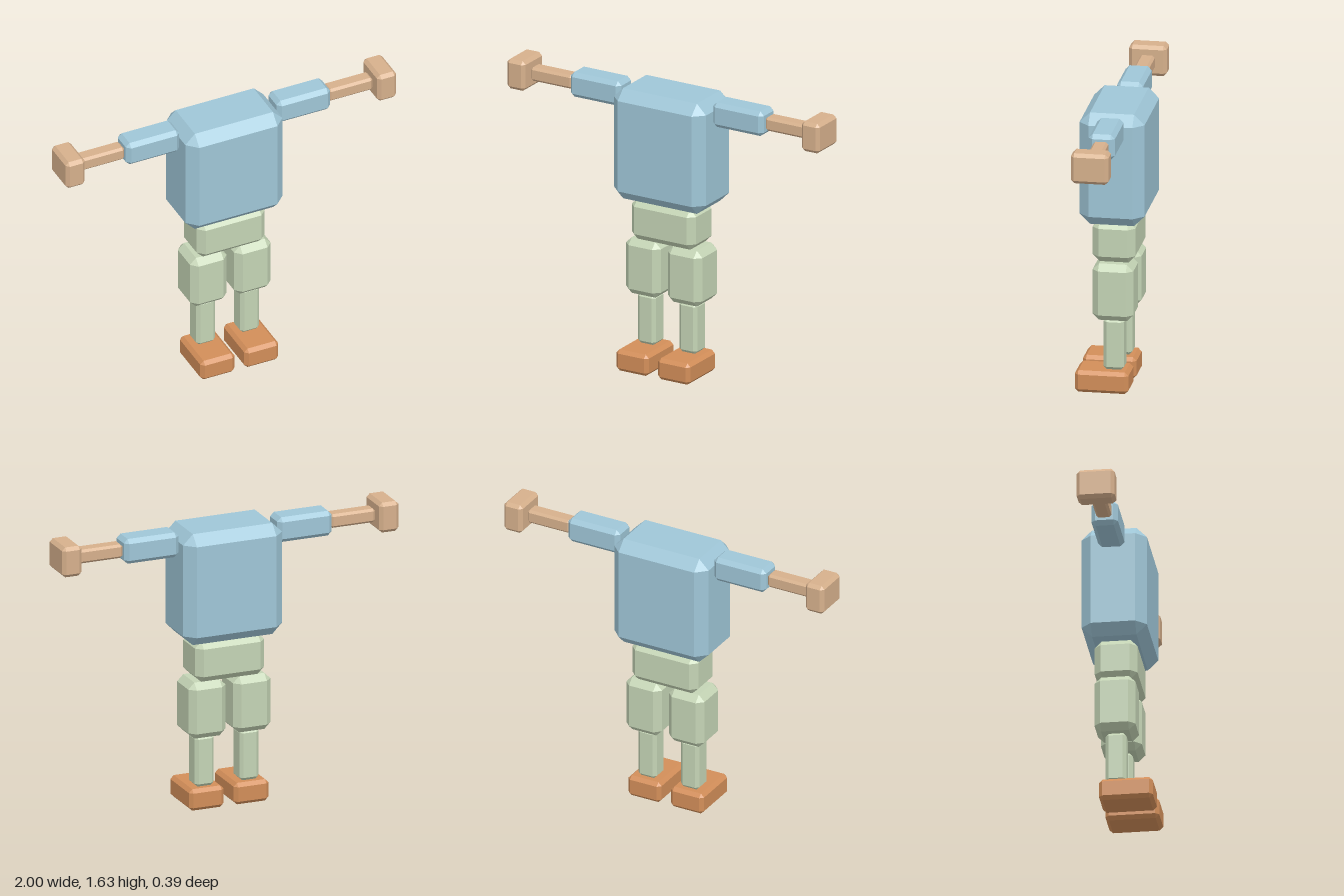
import * as THREE from 'three';
import { ConvexGeometry } from 'three/addons/geometries/ConvexGeometry.js';

const material = (name, color) => {
  const m = new THREE.MeshStandardMaterial({ color });
  m.name = name;
  return m;
};

// Box with every edge cut at 45 degrees by c; corners become triangles
function chamferBox(w, h, d, c) {
  const points = [];
  const x = w / 2, y = h / 2, z = d / 2;
  for (const sx of [-1, 1]) for (const sy of [-1, 1]) for (const sz of [-1, 1]) {
    points.push(
      new THREE.Vector3(sx * x, sy * (y - c), sz * (z - c)),
      new THREE.Vector3(sx * (x - c), sy * y, sz * (z - c)),
      new THREE.Vector3(sx * (x - c), sy * (y - c), sz * z));
  }
  return new ConvexGeometry(points);
}

export function createModel() {
  const model = new THREE.Group();
  model.name = 'blockFigure';

  const shirt = material('shirtBlue', 0x9fc6d7);
  const trousers = material('trouserGreen', 0xc4d4b5);
  const skin = material('skinTan', 0xd6b08c);
  const shoe = material('shoeOrange', 0xd28e59);

  // Adds one block from its [min, max] ranges
  function block(name, mat, [x0, x1], [y0, y1], [z0, z1], chamfer) {
    const mesh = new THREE.Mesh(chamferBox(x1 - x0, y1 - y0, z1 - z0, chamfer), mat);
    mesh.position.set((x0 + x1) / 2, (y0 + y1) / 2, (z0 + z1) / 2);
    mesh.name = name;
    model.add(mesh);
  }

  // Trunk
  block('torso', shirt, [-0.294, 0.294], [0.978, 1.62], [-0.195, 0.165], 0.058);
  block('hips', trousers, [-0.206, 0.206], [0.743, 0.978], [-0.132, 0.104], 0.038);

  // Arms and legs, listed for the left side: x, y, z ranges and chamfer
  const limbs = [
    ['UpperArm', shirt, [0.294, 0.618], [1.477, 1.62], [-0.093, 0.053], 0.023],
    ['Forearm', skin, [0.618, 0.884], [1.509, 1.588], [-0.062, 0.022], 0.013],
    ['Hand', skin, [0.884, 1.0], [1.462, 1.635], [-0.123, 0.086], 0.019],
    ['Thigh', trousers, [0.022, 0.244], [0.418, 0.743], [-0.128, 0.098], 0.036],
    ['Shin', trousers, [0.076, 0.19], [0.124, 0.418], [-0.071, 0.043], 0.018],
    ['Foot', shoe, [0.03, 0.236], [0, 0.124], [-0.102, 0.195], 0.02],
  ];
  for (const [name, mat, [x0, x1], y, z, c] of limbs) {
    block('left' + name, mat, [x0, x1], y, z, c);
    block('right' + name, mat, [-x1, -x0], y, z, c);
  }
  return model;
}
